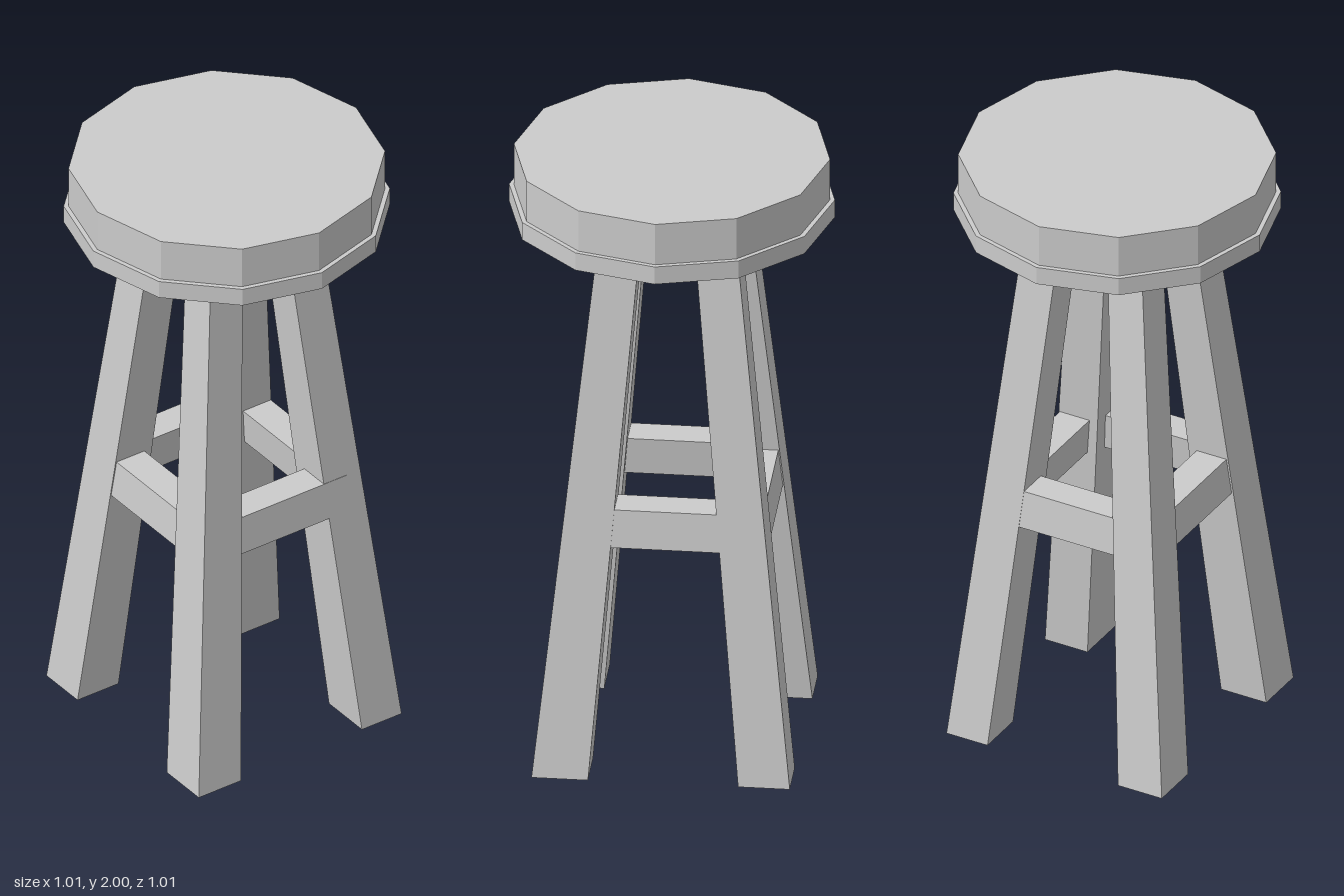
import * as THREE from 'three';

const material = new THREE.MeshStandardMaterial({ color: 0xcccccc, flatShading: true });

// Box whose bottom and top are separate rectangles [x0, x1, z0, z1]
function taperedBar(name, y0, y1, bottom, top) {
  const geometry = new THREE.BoxGeometry(1, 1, 1);
  const p = geometry.attributes.position;
  for (let i = 0; i < p.count; i++) {
    const rect = p.getY(i) > 0 ? top : bottom;
    p.setXYZ(i,
      rect[p.getX(i) > 0 ? 1 : 0],
      p.getY(i) > 0 ? y1 : y0,
      rect[p.getZ(i) > 0 ? 3 : 2]);
  }
  geometry.computeVertexNormals();
  const mesh = new THREE.Mesh(geometry, material);
  mesh.name = name;
  return mesh;
}

function disc(name, radius, y0, y1) {
  const mesh = new THREE.Mesh(new THREE.CylinderGeometry(radius, radius, y1 - y0, 12), material);
  mesh.position.y = (y0 + y1) / 2;
  mesh.name = name;
  return mesh;
}

export function createModel() {
  const stool = new THREE.Group();
  stool.name = 'stool';

  // Twelve-sided seat on a slightly wider rim
  stool.add(disc('seatRim', 0.505, 1.8, 1.86));
  stool.add(disc('seat', 0.49, 1.86, 2));

  // Splayed, tapering legs, each a little different
  const legTop = 1.805;
  stool.add(
    taperedBar('frontLeftLeg', 0, legTop, [0.235, 0.405, 0.235, 0.395], [0.08, 0.21, 0.09, 0.21]),
    taperedBar('frontRightLeg', 0, legTop, [-0.41, -0.245, 0.235, 0.39], [-0.22, -0.09, 0.09, 0.21]),
    taperedBar('backLeftLeg', 0, legTop, [0.22, 0.395, -0.38, -0.23], [0.075, 0.205, -0.2, -0.075]),
    taperedBar('backRightLeg', 0, legTop, [-0.405, -0.245, -0.375, -0.23], [-0.22, -0.09, -0.2, -0.075]),
  );

  // Rungs near the outer leg faces, leaning with the legs
  const y0 = 0.77, y1 = 0.895, e = 0.24;
  stool.add(
    taperedBar('frontRung', y0, y1, [-e, e, 0.205, 0.31], [-e, e, 0.192, 0.297]),
    taperedBar('backRung', y0, y1, [-e, e, -0.3, -0.195], [-e, e, -0.287, -0.182]),
    taperedBar('leftRung', y0, y1, [0.21, 0.315, -e, e], [0.197, 0.302, -e, e]),
    taperedBar('rightRung', y0, y1, [-0.325, -0.22, -e, e], [-0.312, -0.207, -e, e]),
  );

  return stool;
}
